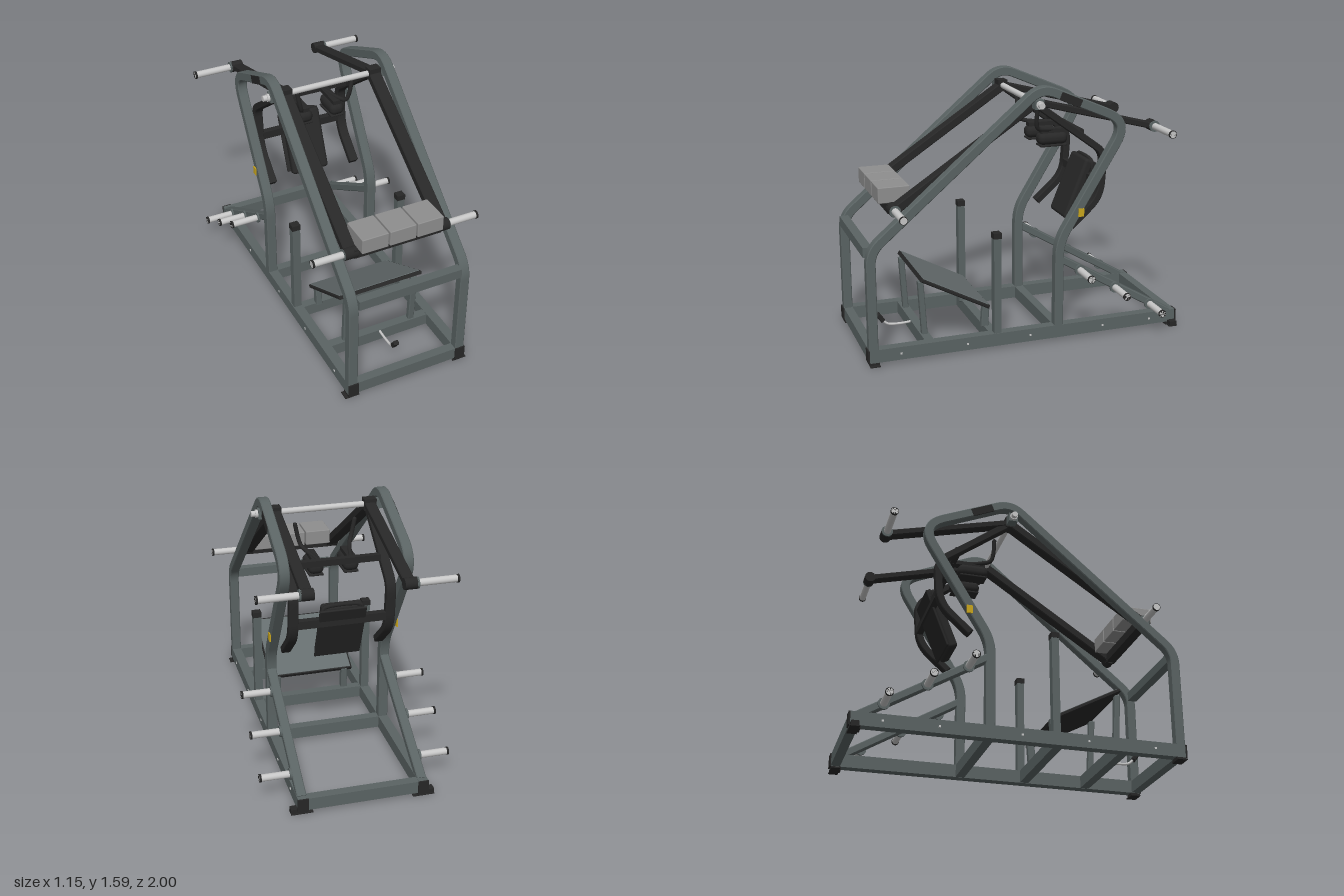
import * as THREE from 'three';
import { toCreasedNormals } from 'three/addons/utils/BufferGeometryUtils.js';
import { RoundedBoxGeometry } from 'three/addons/geometries/RoundedBoxGeometry.js';

const material = (name, color) => {
  const m = new THREE.MeshStandardMaterial({ color });
  m.name = name;
  return m;
};

// Rounds the corners of a [z, y] polyline; cuts holds the trim length per corner.
function roundedPath(points, cuts) {
  const v = points.map(([z, y]) => new THREE.Vector2(-z, y));
  const out = [v[0]];
  for (let i = 1; i < v.length - 1; i++) {
    const toward = (q) => q.clone().sub(v[i]).setLength(cuts[i - 1]).add(v[i]);
    const curve = new THREE.QuadraticBezierCurve(toward(v[i - 1]), v[i], toward(v[i + 1]));
    out.push(...curve.getPoints(10));
  }
  out.push(v[v.length - 1]);
  return out;
}

// Rectangular tube that follows a [z, y] path; width runs along x.
function tubeGeometry(points, thickness, width, cuts = []) {
  const path = roundedPath(points, cuts);
  const a = [], b = [];
  path.forEach((p, i) => {
    const t = path[Math.min(i + 1, path.length - 1)].clone().sub(path[Math.max(i - 1, 0)]).normalize();
    const n = new THREE.Vector2(-t.y, t.x).multiplyScalar(thickness / 2);
    a.push(p.clone().add(n));
    b.unshift(p.clone().sub(n));
  });
  const bevel = Math.min(0.005, width / 4);
  const geo = new THREE.ExtrudeGeometry(new THREE.Shape([...a, ...b]), {
    depth: width - 2 * bevel, bevelEnabled: true, bevelThickness: bevel,
    bevelSize: bevel, bevelOffset: -bevel, bevelSegments: 1,
  });
  geo.translate(0, 0, bevel - width / 2);
  geo.rotateY(Math.PI / 2);
  return toCreasedNormals(geo, 0.6);
}

export function createModel() {
  const model = new THREE.Group();
  model.name = 'legPressMachine';
  const frame = material('frameGrey', 0x5a6363);
  const black = material('black', 0x272727);
  const deck = material('deckGrey', 0x656d6e);
  const steel = material('steel', 0xc6c6c6);
  const block = material('weightGrey', 0x8e8e8e);
  const yellow = material('yellow', 0xc9a51c);

  const add = (name, geo, mat, x = 0, y = 0, z = 0, parent = model) => {
    const mesh = new THREE.Mesh(geo, mat);
    mesh.name = name;
    mesh.position.set(x, y, z);
    parent.add(mesh);
    return mesh;
  };
  const box = (name, mat, w, h, d, x, y, z) => add(name, new THREE.BoxGeometry(w, h, d), mat, x, y, z);
  const rounded = (name, mat, w, h, d, r, x, y, z) => add(name, new RoundedBoxGeometry(w, h, d, 3, r), mat, x, y, z);
  const tube = (name, mat, x, points, t, w, cuts) => add(name, tubeGeometry(points, t, w, cuts), mat, x);
  const rod = (name, mat, r, x0, x1, y, z) => {
    const geo = new THREE.CylinderGeometry(r, r, Math.abs(x1 - x0), 24).rotateZ(Math.PI / 2);
    return add(name, geo, mat, (x0 + x1) / 2, y, z);
  };

  // Weight peg with inner flange and end cap
  const peg = (name, s, x0, x1, y, z) => {
    rod(name, steel, 0.021, s * x0, s * x1, y, z);
    rod(name + 'Flange', frame, 0.034, s * (x0 - 0.005), s * (x0 + 0.008), y, z);
    rod(name + 'Cap', black, 0.024, s * (x1 - 0.012), s * x1, y, z);
  };

  for (const s of [1, -1]) {
    const x = s * 0.36;
    // Base rails, end caps and feet
    box('baseRail', frame, 0.06, 0.08, 1.98, x, 0.06, 0);
    for (const e of [1, -1]) {
      box('railEndCap', black, 0.064, 0.078, 0.01, x, 0.06, e * 0.994);
      box('foot', black, 0.06, 0.02, 0.06, x, 0.01, e * 0.96);
    }
    box('footPlate', black, 0.13, 0.006, 0.055, s * 0.365, 0.003, -0.965);
    box('footTab', black, 0.04, 0.03, 0.045, s * 0.41, 0.018, -0.965);
    box('frontFootPlate', black, 0.09, 0.006, 0.06, s * 0.365, 0.003, 0.96);
    for (const z of [0.8, 0.39, -0.01, -0.49, -0.81])
      box('railBolt', steel, 0.006, 0.012, 0.012, s * 0.391, 0.06, z);

    // Bent side frame
    tube('sideFrame', frame, x,
      [[0.963, 0.09], [0.963, 0.7], [-0.075, 1.583], [-0.634, 1.345], [-0.197, 0.63], [-0.197, 0.09]],
      0.056, 0.06, [0.08, 0.09, 0.15, 0.09]);
    tube('frameSticker', black, s * 0.39, [[-0.19, 1.53], [-0.32, 1.474]], 0.05, 0.006);
    box('safetyTag', yellow, 0.008, 0.05, 0.036, s * 0.393, 0.81, -0.33);

    // Short post with cap
    box('stopPost', frame, 0.05, 0.61, 0.045, x, 0.395, 0.198);
    box('stopPostCap', black, 0.054, 0.035, 0.05, x, 0.715, 0.198);

    // Rear brace and storage pegs
    tube('rearBrace', frame, x, [[-0.205, 0.525], [-0.95, 0.085]], 0.045, 0.056);
    for (const [z, y] of [[-0.33, 0.443], [-0.567, 0.302], [-0.81, 0.16]])
      peg('storagePeg', s, 0.39, 0.575, y, z);

    // Lever arms on the pivot
    tube('frontLeverArm', black, s * 0.292, [[-0.06, 1.48], [0.81, 0.905]], 0.05, 0.075);
    tube('rearLeverArm', black, s * 0.29, [[-0.05, 1.49], [-0.84, 1.285]], 0.038, 0.066);
    rod('rearLeverHub', black, 0.034, s * 0.255, s * 0.33, 1.29, -0.83);
    rod('frontLeverHub', black, 0.036, s * 0.255, s * 0.335, 0.915, 0.8);
    peg('rearLeverPeg', s, 0.33, 0.575, 1.29, -0.83);
    peg('frontLeverPeg', s, 0.33, 0.53, 0.915, 0.8);
    box('pivotBracket', black, 0.075, 0.07, 0.06, s * 0.292, 1.485, -0.06);
    box('pivotBearing', frame, 0.062, 0.055, 0.055, x, 1.485, -0.06);
    rod('pivotNut', steel, 0.024, s * 0.39, s * 0.405, 1.485, -0.06);

    // Swing arm that carries the back pad
    tube('swingArm', black, s * 0.29,
      [[-0.06, 1.48], [-0.51, 1.15], [-0.49, 0.87], [-0.3, 0.7]], 0.042, 0.058, [0.06, 0.09]);

    // Shoulder pad, its plate and grip
    rounded('shoulderPad', black, 0.094, 0.075, 0.19, 0.034, s * 0.106, 1.215, -0.247);
    rounded('shoulderPadBase', black, 0.088, 0.012, 0.17, 0.004, s * 0.106, 1.174, -0.247);
    box('shoulderPadPlate', black, 0.05, 0.025, 0.22, s * 0.106, 1.262, -0.28);
    const grip = new THREE.CatmullRomCurve3([
      [0.1, 1.27, -0.33], [0.13, 1.275, -0.2], [0.15, 1.29, -0.14], [0.163, 1.33, -0.127], [0.182, 1.42, -0.125],
    ].map(([gx, gy, gz]) => new THREE.Vector3(s * gx, gy, gz)));
    add('handGrip', new THREE.TubeGeometry(grip, 24, 0.013, 10), black);
    add('gripEnd', new THREE.SphereGeometry(0.013, 10, 8), black, s * 0.182, 1.42, -0.125);

    // Legs of the foot platform
    tube('platformFrontLeg', frame, s * 0.226, [[0.615, 0.09], [0.635, 0.435]], 0.035, 0.04);
    tube('platformRearLeg', frame, s * 0.226, [[0.235, 0.09], [0.225, 0.235]], 0.045, 0.04);
  }

  // Cross members
  for (const z of [0.963, 0.615, 0.215, -0.197, -0.965])
    box('baseCrossBeam', frame, 0.66, 0.076, 0.055, 0, 0.06, z);
  box('frontCrossBeam', frame, 0.66, 0.06, 0.055, 0, 0.685, 0.968);
  rod('pivotShaft', steel, 0.018, -0.43, 0.43, 1.485, -0.06);
  box('shoulderCrossBar', black, 0.53, 0.038, 0.036, 0, 1.27, -0.375);
  box('backPadCrossBar', black, 0.53, 0.05, 0.04, 0, 0.95, -0.495);

  // Sloping foot platform
  tube('platformBoard', black, 0, [[0.64, 0.455], [0.215, 0.23]], 0.022, 0.56);
  tube('platformDeck', deck, 0, [[0.626, 0.461], [0.217, 0.244]], 0.006, 0.545);

  // Back pad
  const pad = rounded('backPad', black, 0.25, 0.4, 0.06, 0.02, 0, 0.87, -0.43);
  const backing = rounded('backPadBoard', black, 0.28, 0.38, 0.014, 0.005, 0, 0.86, -0.468);
  pad.rotation.x = backing.rotation.x = -0.38;
  const rail = new THREE.CatmullRomCurve3([[-0.12, 1.0], [-0.115, 1.04], [-0.09, 1.053], [0.09, 1.053], [0.115, 1.04], [0.12, 1.0]]
    .map(([rx, ry]) => new THREE.Vector3(rx, ry, -0.515)));
  add('backPadHandle', new THREE.TubeGeometry(rail, 30, 0.012, 8), black);

  // Counterweight blocks on the front lever bar
  box('frontLeverBar', black, 0.56, 0.055, 0.06, 0, 0.915, 0.8);
  for (const x of [-0.175, 0, 0.175])
    rounded('weightBlock', block, 0.166, 0.095, 0.19, 0.005, x, 0.992, 0.785);

  // Foot pedal
  const stem = new THREE.CatmullRomCurve3([[0.62, 0.09], [0.72, 0.085], [0.79, 0.095], [0.83, 0.14]]
    .map(([z, y]) => new THREE.Vector3(0, y, z)));
  add('pedalStem', new THREE.TubeGeometry(stem, 16, 0.008, 8), steel);
  tube('pedal', black, 0, [[0.815, 0.115], [0.85, 0.165]], 0.028, 0.034);

  return model;
}
